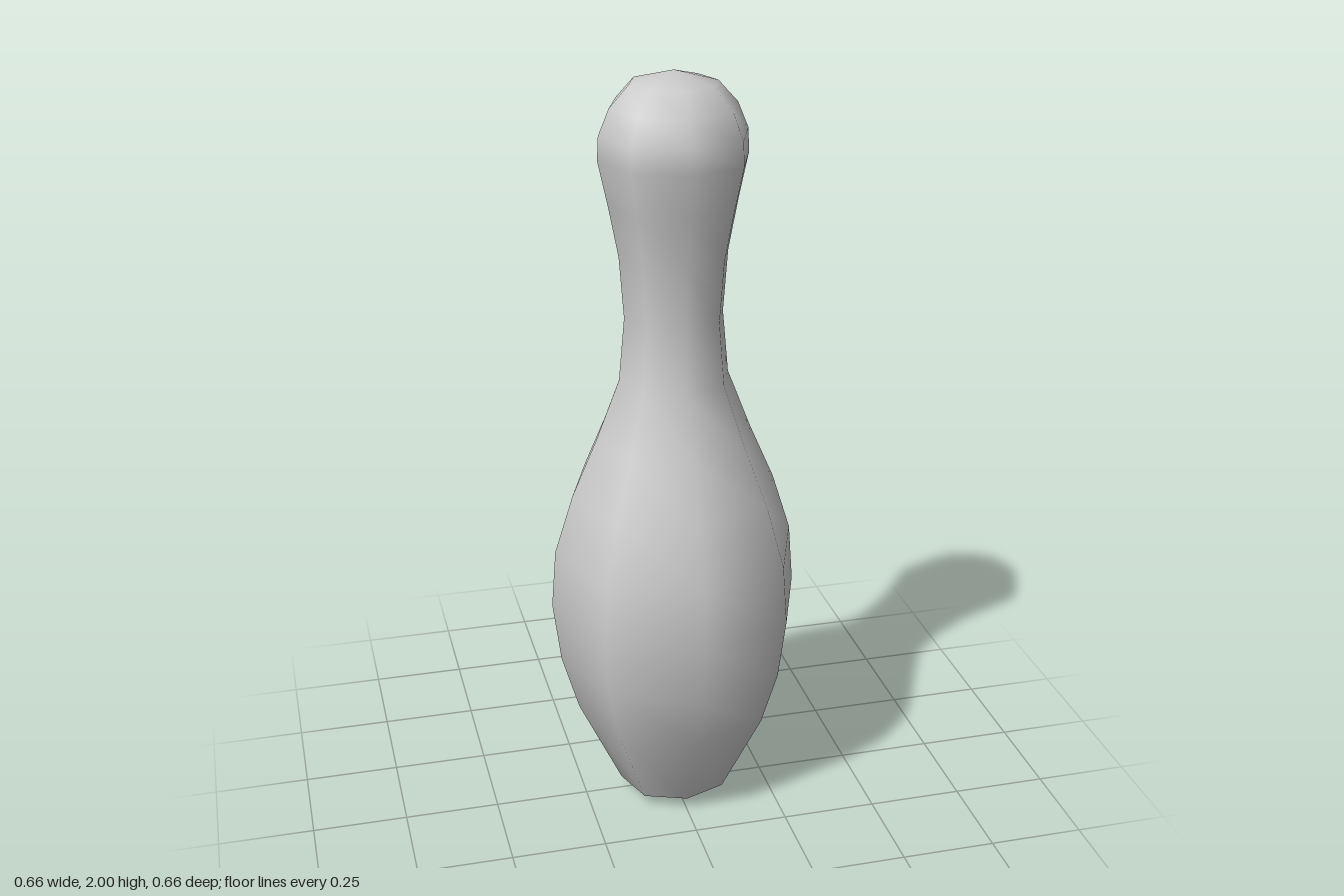
import * as THREE from 'three';
import { mergeVertices } from 'three/addons/utils/BufferGeometryUtils.js';

export function createModel() {
  const group = new THREE.Group();
  group.name = 'bowlingPin';

  // Profile from base to crown: [radius, height]
  const profile = [
    [0, 0], [0.1, 0.008], [0.15, 0.035], [0.265, 0.28], [0.31, 0.435],
    [0.331, 0.6], [0.319, 0.755], [0.27, 0.91], [0.205, 1.06], [0.143, 1.22],
    [0.128, 1.385], [0.14, 1.545], [0.165, 1.675], [0.19, 1.79],
    [0.187, 1.85], [0.16, 1.915], [0.11, 1.97], [0, 2],
  ].map(([r, y]) => new THREE.Vector2(r, y));

  // Eight-sided turned body
  let body = new THREE.LatheGeometry(profile, 8);

  // Push the diagonal corners out slightly
  const pos = body.attributes.position;
  for (let i = 0; i < pos.count; i++) {
    const x = pos.getX(i), z = pos.getZ(i);
    if (Math.min(Math.abs(x), Math.abs(z)) > 0.01) {
      pos.setX(i, x * 1.03);
      pos.setZ(i, z * 1.03);
    }
  }

  // Weld the seam and poles so shading stays smooth all round
  body.deleteAttribute('uv');
  body.deleteAttribute('normal');
  body = mergeVertices(body, 1e-4);
  body.computeVertexNormals();

  const mesh = new THREE.Mesh(body, new THREE.MeshStandardMaterial({ color: 0xcccccc }));
  mesh.name = 'pinBody';
  group.add(mesh);
  return group;
}
